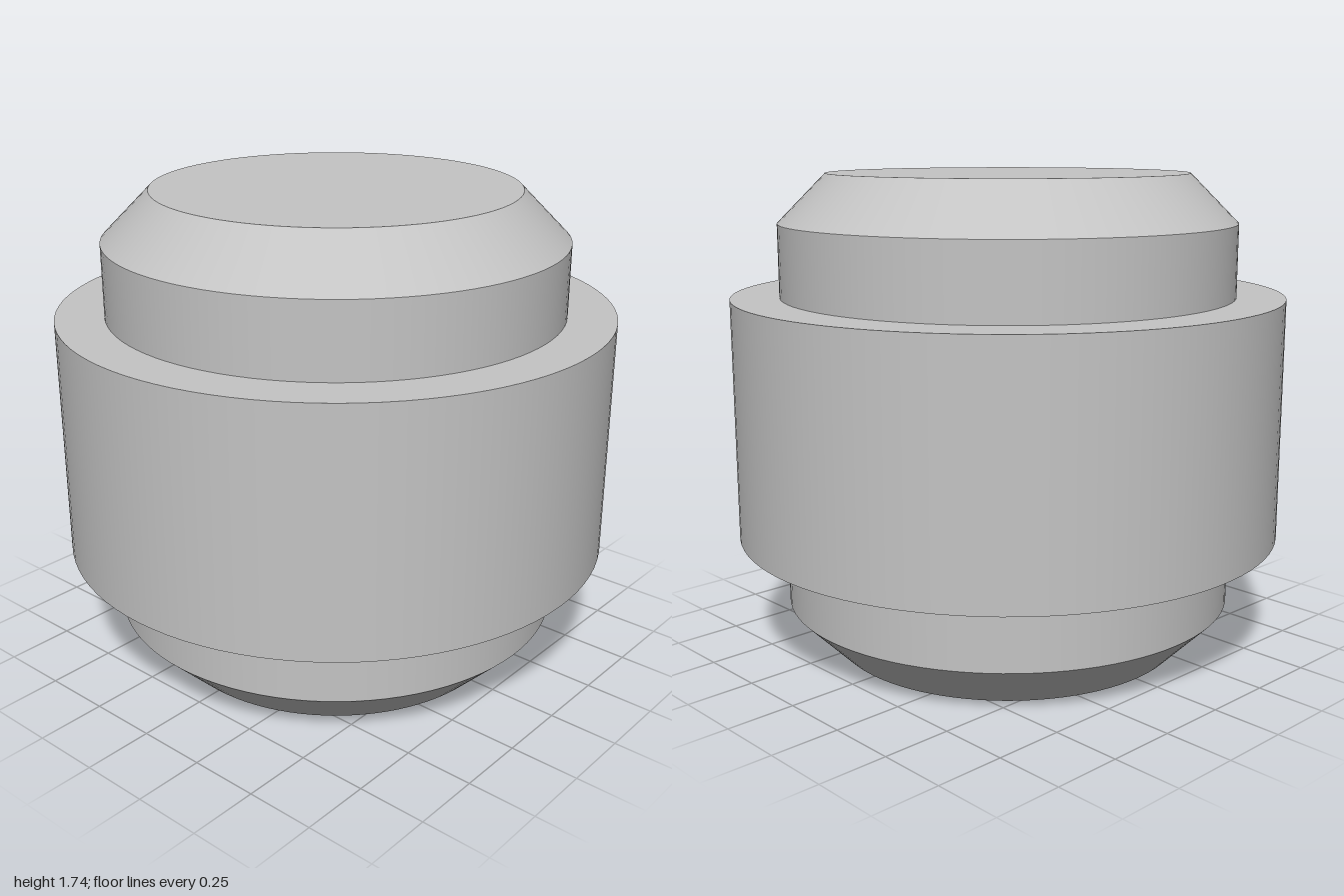
import * as THREE from 'three';

const SEGMENTS = 96;

export function createModel() {
  const model = new THREE.Group();
  model.name = 'steppedRoller';

  const metal = new THREE.MeshStandardMaterial({ color: 0xc4c4c4 });
  metal.name = 'light grey';

  // Outline from the bottom centre to the top centre: [name of next band, radius, height]
  const outline = [
    ['bottomFace', 0, 0],
    ['bottomChamfer', 0.653, 0],
    ['bottomShoulder', 0.826, 0.174],
    ['collarUnderside', 0.826, 0.435],
    ['collarWall', 1, 0.435],
    ['collarTop', 1, 1.307],
    ['topShoulder', 0.826, 1.307],
    ['topChamfer', 0.826, 1.568],
    ['topFace', 0.653, 1.742],
    ['end', 0, 1.742],
  ];

  // Each band is turned separately, so it is smooth around and sharp at its rims
  for (let i = 0; i < outline.length - 1; i++) {
    const [name, r0, y0] = outline[i];
    const [, r1, y1] = outline[i + 1];
    const profile = [new THREE.Vector2(r0, y0), new THREE.Vector2(r1, y1)];
    const band = new THREE.Mesh(new THREE.LatheGeometry(profile, SEGMENTS), metal);
    band.name = name;
    model.add(band);
  }
  return model;
}
